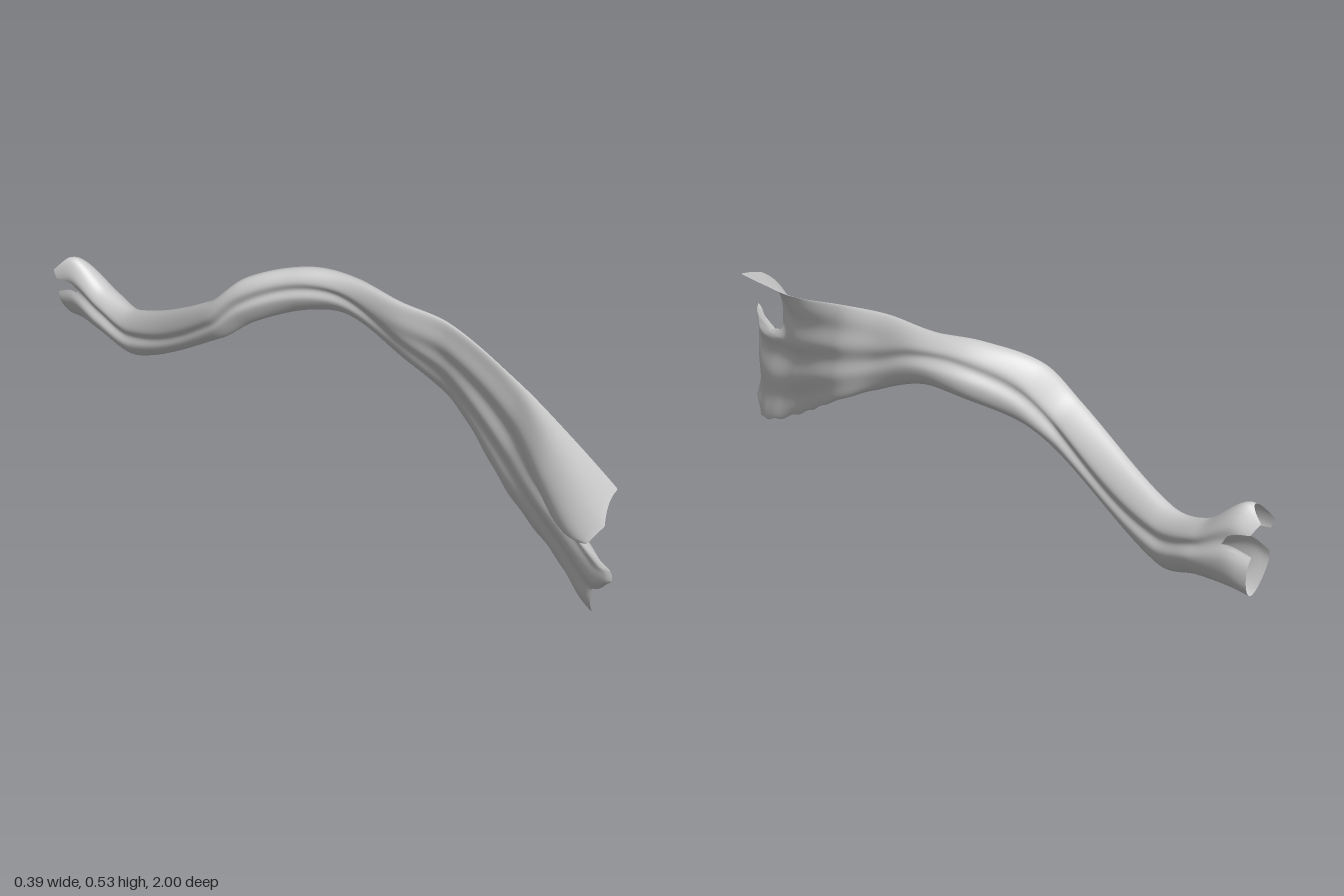
import * as THREE from 'three';

// Stations along the length: z, top y, bottom y, x at top / middle / bottom, half thickness
const stations = [
  [-1, 0.29, 0.08, -0.175, -0.15, -0.125, 0.04],
  [-0.95, 0.305, 0.085, -0.145, -0.13, -0.12, 0.05],
  [-0.85, 0.23, 0.08, -0.12, -0.115, -0.115, 0.056],
  [-0.72, 0.22, 0.06, -0.115, -0.11, -0.105, 0.047],
  [-0.4, 0.4, 0.26, -0.1, -0.075, -0.06, 0.043],
  [-0.32, 0.487, 0.33, -0.045, -0.027, -0.01, 0.057],
  [-0.2, 0.532, 0.385, 0.05, 0.067, 0.085, 0.06],
  [-0.08, 0.535, 0.4, 0.105, 0.12, 0.135, 0.045],
  [0.1, 0.535, 0.33, 0.118, 0.135, 0.16, 0.034],
  [0.25, 0.525, 0.255, 0.15, 0.16, 0.185, 0.024],
  [0.5, 0.475, 0.12, 0.14, 0.118, 0.13, 0.016],
  [0.7, 0.445, 0.03, 0.1, 0.015, 0.105, 0.015],
  [0.9, 0.415, 0, 0.05, -0.095, 0.025, 0.015],
  [1, 0.4, 0.12, 0.02, -0.14, -0.02, 0.014],
];

// Ragged outlines of both ends: [s from top edge 0 to bottom edge 1, z]
const frontEdge = [[0, 0.9], [0.06, 0.945], [0.16, 0.93], [0.32, 0.8], [0.37, 0.735], [0.39, 0.75],
  [0.41, 0.95], [0.44, 0.99], [0.49, 1], [0.6, 0.95], [0.68, 0.895], [0.92, 0.885], [0.955, 0.81], [1, 0.785]];
const backEdge = [[0, -0.97], [0.12, -1], [0.27, -0.99], [0.35, -0.94], [0.43, -0.93], [0.5, -1], [1, -1]];

function linear(points, s) {
  let i = 0;
  while (i < points.length - 2 && s > points[i + 1][0]) i++;
  const [a, b] = [points[i], points[i + 1]];
  return THREE.MathUtils.mapLinear(s, a[0], b[0], a[1], b[1]);
}

// Smooth (Hermite) interpolation of one station column at z
function smooth(z, column) {
  let i = 0;
  const last = stations.length - 1;
  while (i < last - 1 && z > stations[i + 1][0]) i++;
  const slope = (j) => {
    const a = stations[Math.max(0, j - 1)], b = stations[Math.min(last, j + 1)];
    return (b[column] - a[column]) / (b[0] - a[0]);
  };
  const p = stations[i], q = stations[i + 1], d = q[0] - p[0];
  const t = (z - p[0]) / d, t2 = t * t, t3 = t2 * t;
  return (2 * t3 - 3 * t2 + 1) * p[column] + (t3 - 2 * t2 + t) * d * slope(i)
    + (3 * t2 - 2 * t3) * q[column] + (t3 - t2) * d * slope(i + 1);
}

function surfacePoint(t, s, side) {
  // Rows run straight in the middle and fan out to the ragged ends
  const { lerp, smoothstep } = THREE.MathUtils;
  let z = lerp(-1, 1, t);
  if (z > 0.6) z = lerp(0.6, linear(frontEdge, s), (z - 0.6) / 0.4);
  else if (z < -0.8) z = lerp(-0.8, linear(backEdge, s), (-0.8 - z) / 0.2);

  const [top, bottom, xTop, xMid, xBottom, half] = [1, 2, 3, 4, 5, 6].map((c) => smooth(z, c));
  const y = lerp(top, bottom, s);

  // The blade cups toward +x, deepest at the lower rim of the upper lobe
  const blade = smoothstep(z, -0.05, 0.6);
  const u = s ** lerp(1, 0.6, blade);
  let x = xTop * (1 - u) * (1 - 2 * u) + xMid * 4 * u * (1 - u) + xBottom * u * (2 * u - 1);

  // The lower lobe steps out from under the upper one
  x += 0.13 * smoothstep(z, 0.55, 0.9) * smoothstep(s, 0.33, 0.43) * (1 - s);

  // Lengthwise folds on the blade and shallow grooves on the shaft
  const rim = Math.max(0, Math.sin(Math.PI * s));
  x += blade * 0.008 * rim * Math.sin(s * 19 + 1.5 * z);
  const groove = 1 - (1 - blade) * 0.25 * Math.exp(-(((s - 0.5 - 0.12 * Math.sin(z * 9)) / 0.12) ** 2));

  // Thickness closes to an edge at the front
  const close = Math.sqrt(1 - t ** 40);
  const thick = half * Math.sqrt(rim) * groove * close;
  return [x + side * thick, y + 0.003 * blade * Math.sin(z * 60) * s ** 6, z];
}

function createLoft(rows, columns) {
  const positions = [], index = [], ring = columns * 2;
  for (let i = 0; i <= rows; i++) {
    for (let k = 0; k < ring; k++) {
      const angle = (k / columns) * Math.PI;
      positions.push(...surfacePoint(i / rows, (1 - Math.cos(angle)) / 2, k < columns ? 1 : -1));
    }
  }
  for (let i = 0; i < rows; i++) {
    for (let k = 0; k < ring; k++) {
      const a = i * ring + k, b = i * ring + ((k + 1) % ring);
      index.push(a, a + ring, b, b, a + ring, b + ring);
    }
  }
  const geometry = new THREE.BufferGeometry();
  geometry.setAttribute('position', new THREE.Float32BufferAttribute(positions, 3));
  geometry.setIndex(index);
  geometry.computeVertexNormals();
  return geometry;
}

export function createModel() {
  const group = new THREE.Group();
  group.name = 'curvedBone';
  const material = new THREE.MeshStandardMaterial({ color: 0xcccccc, side: THREE.DoubleSide });
  // Shaft with a forked hollow end, flattening into a lobed blade
  const bone = new THREE.Mesh(createLoft(160, 90), material);
  bone.name = 'shaftAndBlade';
  group.add(bone);
  return group;
}
